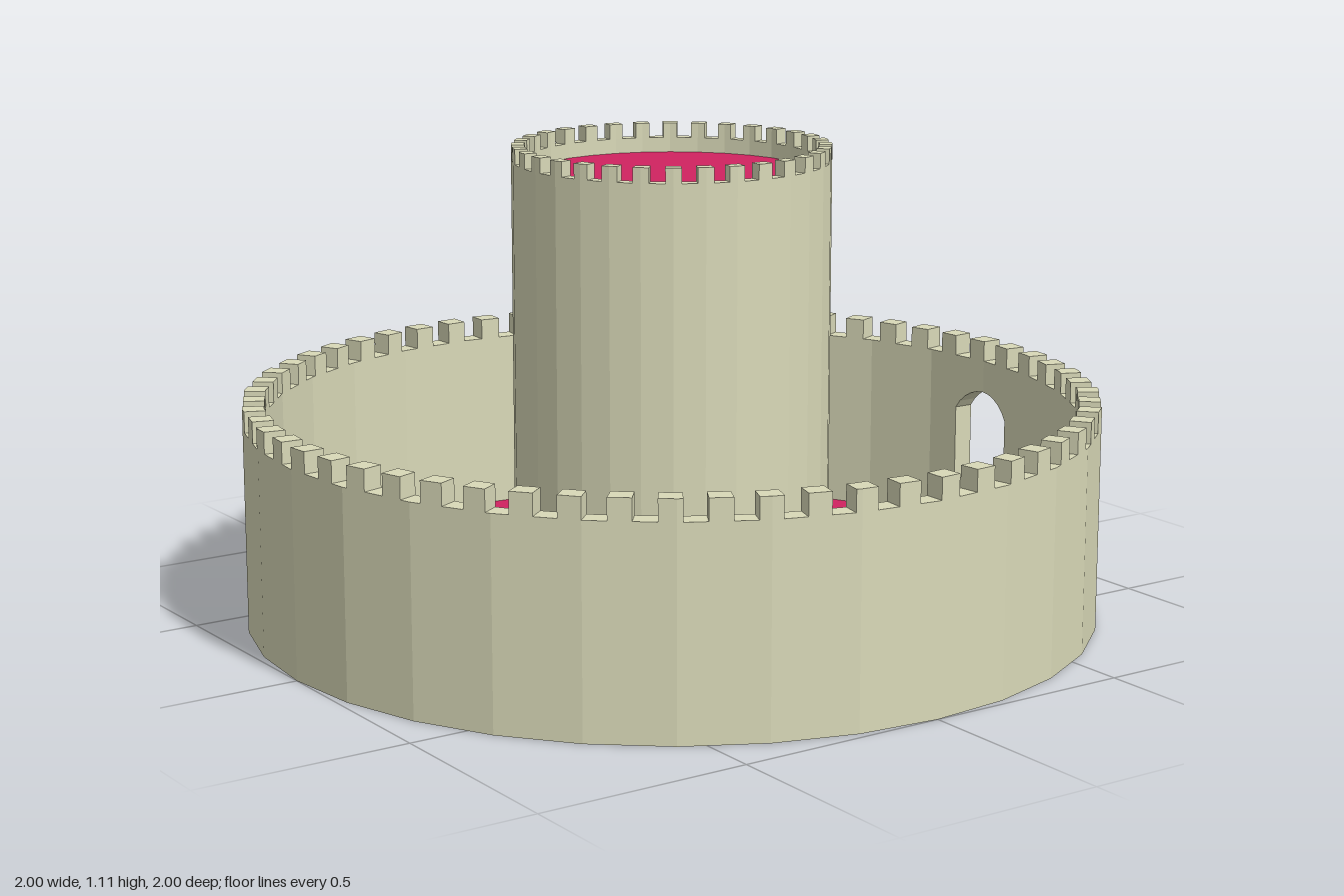
import * as THREE from 'three';

const SIDES = 32;
const STEP = (Math.PI * 2) / SIDES;

const stone = new THREE.MeshStandardMaterial({ color: 0xd9d9b8 });
stone.name = 'pale stone';
const crimson = new THREE.MeshStandardMaterial({ color: 0xd02360 });
crimson.name = 'crimson floor';

// Point at angle a on the edge of a 32-sided polygon of corner radius r
function onPolygon(r, a) {
  const middle = (Math.floor(a / STEP + 1e-6) + 0.5) * STEP;
  const d = (r * Math.cos(STEP / 2)) / Math.cos(a - middle);
  return new THREE.Vector2(d * Math.cos(a), d * Math.sin(a));
}

// Polygon outline between two angles, including the corners passed on the way
function outline(r, a0, a1) {
  const points = [onPolygon(r, a0)];
  for (let k = Math.floor(a0 / STEP + 1e-6) + 1; k * STEP < a1 - 1e-6; k++) points.push(onPolygon(r, k * STEP));
  points.push(onPolygon(r, a1));
  return points;
}

// Raise a ground-plan shape from y0 to y1
function raise(shape, y0, y1) {
  return new THREE.ExtrudeGeometry(shape, { depth: y1 - y0, bevelEnabled: false })
    .rotateX(-Math.PI / 2)
    .translate(0, y0, 0);
}

function arcPlan(rIn, rOut, in0, in1, out0 = in0, out1 = in1) {
  return new THREE.Shape([...outline(rOut, out0, out1), ...outline(rIn, in0, in1).reverse()]);
}

function discPlan(r, hole = 0) {
  const shape = new THREE.Shape(outline(r, 0, Math.PI * 2).slice(0, -1));
  if (hole) shape.holes.push(new THREE.Path(outline(hole, 0, Math.PI * 2).slice(0, -1)));
  return shape;
}

export function createModel() {
  const model = new THREE.Group();
  model.name = 'roundFort';

  const add = (name, geometry, material, parent = model) => {
    const mesh = new THREE.Mesh(geometry, material);
    mesh.name = name;
    parent.add(mesh);
  };

  // Evenly spaced merlons, as wide as the gaps between them
  const addMerlons = (name, count, rIn, rOut, y0, y1, offset) => {
    const group = new THREE.Group();
    group.name = name;
    const pitch = (Math.PI * 2) / count;
    for (let i = 0; i < count; i++) {
      const a = (i + offset) * pitch;
      add('merlon', raise(arcPlan(rIn, rOut, a, a + pitch / 2), y0, y1), stone, group);
    }
    model.add(group);
  };

  // Base slab with a round recess underneath, and the floor on it
  add('baseSlab', raise(discPlan(0.982, 0.37), 0, 0.03), stone);
  add('courtyardFloor', raise(discPlan(0.982), 0.03, 0.04), crimson);

  // Outer wall, left open around the doorway on the +x side
  const R_IN = 0.95, R_OUT = 1, WALL_TOP = 0.48, PANEL = 0.15;
  const slope = Math.tan(STEP / 2);
  const cut = (r) => Math.atan2(PANEL, r - PANEL * slope);
  const full = Math.PI * 2;
  add('outerWall', raise(
    arcPlan(R_IN, R_OUT, cut(R_IN), full - cut(R_IN), cut(R_OUT), full - cut(R_OUT)), 0, WALL_TOP), stone);

  // Two mirrored half panels that form the arched doorway
  const HALF = 0.095, SPRING = 0.345, CROWN = 0.4;
  const rise = CROWN - SPRING;
  const radius = (HALF * HALF + rise * rise) / (2 * rise);
  const sweep = Math.asin(HALF / radius);
  for (const side of [1, -1]) {
    const points = [[0, WALL_TOP], [PANEL, WALL_TOP], [PANEL, 0], [HALF, 0]];
    for (let i = 5; i >= 0; i--) {
      const a = (sweep * i) / 5;
      points.push([radius * Math.sin(a), CROWN - radius + radius * Math.cos(a)]);
    }
    const shape = new THREE.Shape(points.map(([z, y]) => new THREE.Vector2(side * z, y)));
    const geometry = new THREE.ExtrudeGeometry(shape, { depth: 1, bevelEnabled: false }).rotateY(Math.PI / 2);
    // Lay the panel onto the wall facets
    const p = geometry.attributes.position;
    for (let i = 0; i < p.count; i++) {
      p.setX(i, R_IN + (R_OUT - R_IN) * p.getX(i) - Math.abs(p.getZ(i)) * slope);
    }
    geometry.computeVertexNormals();
    add('doorwayHalf', geometry, stone);
  }
  addMerlons('outerMerlons', 60, R_IN, R_OUT, WALL_TOP, 0.53, 0);

  // Central tower with its sunken roof
  add('towerWall', raise(discPlan(0.37, 0.34), 0.04, 1.075), stone);
  add('towerRoof', raise(discPlan(0.35), 1.03, 1.04), crimson);
  addMerlons('towerMerlons', 32, 0.34, 0.37, 1.075, 1.11, -0.25);

  return model;
}
